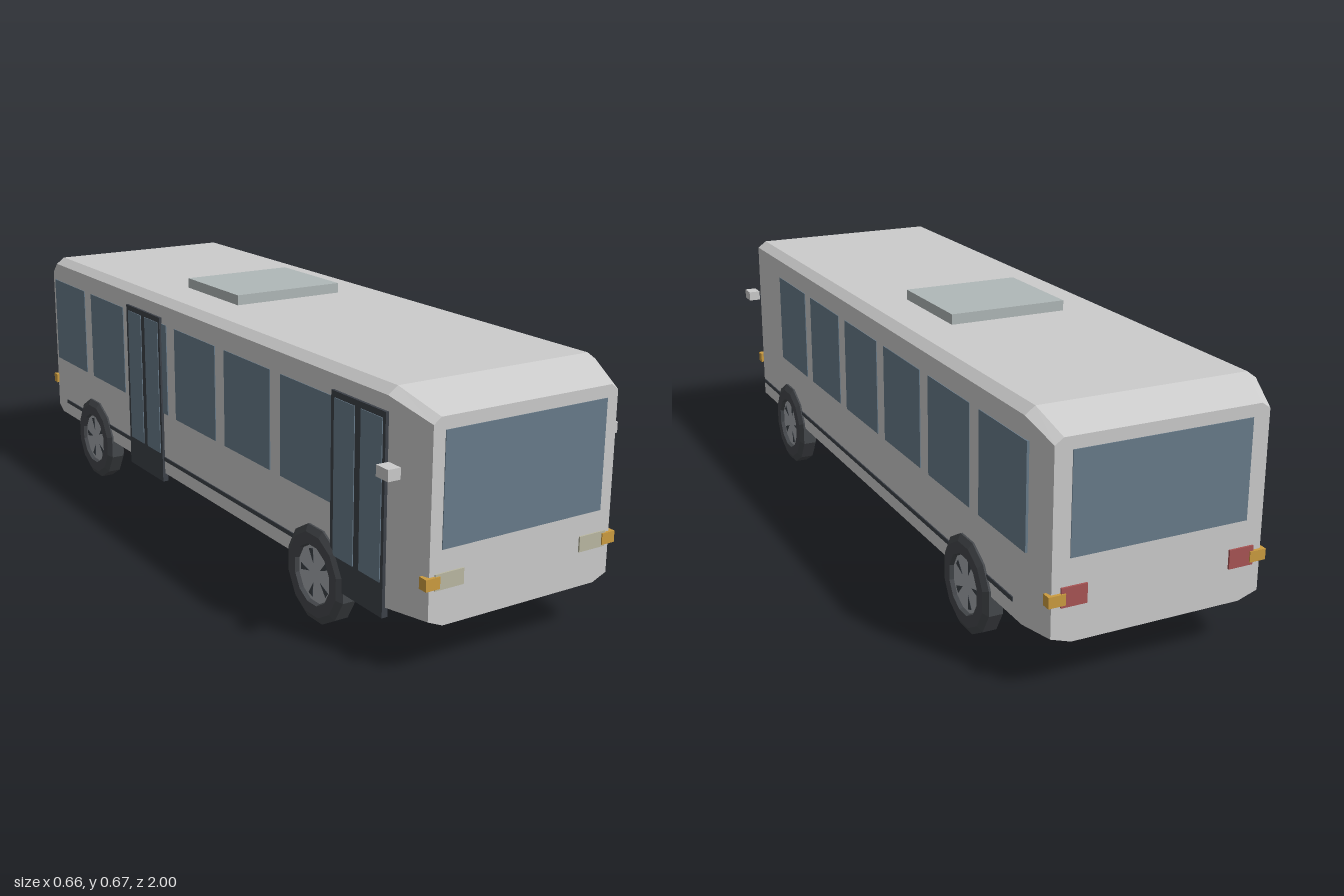
import * as THREE from 'three';

const mat = (color) => new THREE.MeshStandardMaterial({ color, flatShading: true });
const M = {
  body: mat(0xcccccc), glass: mat(0x687b8a), dark: mat(0x3c4148), tyre: mat(0x45484c),
  rim: mat(0xa4a8ac), hatch: mat(0xb0b8b8), lamp: mat(0xbab8a2), amber: mat(0xcc9c40), red: mat(0xa85454),
};

// Box given by its two extremes on each axis
function box(parent, name, material, [x0, x1], [y0, y1], [z0, z1]) {
  const mesh = new THREE.Mesh(new THREE.BoxGeometry(Math.abs(x1 - x0), y1 - y0, z1 - z0), material);
  mesh.position.set((x0 + x1) / 2, (y0 + y1) / 2, (z0 + z1) / 2);
  mesh.name = name;
  parent.add(mesh);
  return mesh;
}

// Shell lofted through eight-sided sections, closed at both ends
function bodyGeometry() {
  const sections = [
    { z: -0.992, w: 0.272, shoulder: 0.58, tx: 0.25, top: 0.595 },
    { z: -0.905, w: 0.295, shoulder: 0.622, tx: 0.27, top: 0.64 },
    { z: 0.88, w: 0.295, shoulder: 0.622, tx: 0.27, top: 0.64 },
    { z: 0.993, w: 0.26, shoulder: 0.58, tx: 0.24, top: 0.595 },
  ];
  const rings = sections.map(({ z, w, shoulder, tx, top }) => {
    const half = [[0.22, 0.12], [w, 0.137], [w, shoulder], [tx, top]];
    const mirrored = half.map(([x, y]) => [-x, y]).reverse();
    return [...half, ...mirrored].map(([x, y]) => [x, y, z]);
  });
  const pos = [];
  const tri = (a, b, c) => pos.push(...a, ...b, ...c);
  for (let s = 0; s < rings.length - 1; s++) {
    const a = rings[s], b = rings[s + 1];
    for (let i = 0; i < 8; i++) {
      const j = (i + 1) % 8;
      tri(a[i], a[j], b[j]);
      tri(a[i], b[j], b[i]);
    }
  }
  const back = rings[0], front = rings[rings.length - 1];
  for (let i = 1; i < 7; i++) {
    tri(front[0], front[i], front[i + 1]);
    tri(back[0], back[i + 1], back[i]);
  }
  const g = new THREE.BufferGeometry();
  g.setAttribute('position', new THREE.Float32BufferAttribute(pos, 3));
  g.computeVertexNormals();
  return g;
}

// Twelve-sided wheel whose axle is local y, outer face at +y
function makeWheel() {
  const wheel = new THREE.Group();
  const profile = [[0.07, -0.027], [0.105, -0.027], [0.122, -0.018], [0.122, 0.018], [0.105, 0.027], [0.076, 0.027], [0.072, 0.016]]
    .map(([r, y]) => new THREE.Vector2(r, y));
  const tyre = new THREE.Mesh(new THREE.LatheGeometry(profile, 12), M.tyre);
  tyre.name = 'tyre';
  tyre.rotation.y = Math.PI / 12;
  const rim = new THREE.Mesh(new THREE.CylinderGeometry(0.074, 0.074, 0.042, 24), M.rim);
  rim.name = 'rim';
  rim.position.y = -0.004;
  wheel.add(tyre, rim);
  // Dark slots between the spokes
  const slot = new THREE.Shape([[0.026, 0], [0.062, -0.009], [0.062, 0.009]].map((p) => new THREE.Vector2(...p)));
  const slotGeo = new THREE.ExtrudeGeometry(slot, { depth: 0.001, bevelEnabled: false });
  slotGeo.rotateX(-Math.PI / 2);
  for (let i = 0; i < 5; i++) {
    const mesh = new THREE.Mesh(slotGeo, M.dark);
    mesh.name = 'rimSlot';
    mesh.position.y = 0.017;
    mesh.rotation.y = Math.PI / 2 + (i * Math.PI * 2) / 5;
    wheel.add(mesh);
  }
  return wheel;
}

// Double-leaf door on the right side, starting at z
function makeDoor(z) {
  const door = new THREE.Group();
  const width = 0.208, leaf = width / 2;
  box(door, 'doorFrame', M.dark, [-0.302, -0.286], [0.113, 0.587], [z, z + width]);
  for (let i = 0; i < 2; i++) {
    const z0 = z + i * leaf;
    box(door, 'doorGlass', M.glass, [-0.304, -0.3], [0.195, 0.572], [z0 + 0.014, z0 + leaf - 0.01]);
  }
  return door;
}

export function createModel() {
  const bus = new THREE.Group();
  bus.name = 'bus';

  const body = new THREE.Mesh(bodyGeometry(), M.body);
  body.name = 'body';
  bus.add(body);

  box(bus, 'roofHatch', M.hatch, [-0.16, 0.16], [0.63, 0.667], [-0.27, 0.01]);
  box(bus, 'windscreen', M.glass, [-0.228, 0.228], [0.298, 0.565], [0.985, 0.995]);
  box(bus, 'rearWindow', M.glass, [-0.228, 0.228], [0.32, 0.565], [-0.994, -0.985]);

  for (const s of [1, -1]) {
    // Side windows and trim strip
    for (let i = 0; i < 6; i++) {
      const z = -0.92 + i * 0.2735;
      box(bus, 'sideWindow', M.glass, [s * 0.287, s * 0.297], [0.315, 0.57], [z, z + 0.225]);
    }
    box(bus, 'sideStrip', M.dark, [s * 0.29, s * 0.298], [0.175, 0.186], [-0.865, 0.872]);

    // Lamps
    box(bus, 'headlight', M.lamp, [s * 0.168, s * 0.246], [0.207, 0.245], [0.98, 0.997]);
    box(bus, 'frontIndicator', M.amber, [s * 0.235, s * 0.273], [0.212, 0.24], [0.975, 1]);
    box(bus, 'tailLight', M.red, [s * 0.185, s * 0.25], [0.208, 0.255], [-0.997, -0.98]);
    box(bus, 'rearIndicator', M.amber, [s * 0.24, s * 0.283], [0.215, 0.242], [-1, -0.977]);

    // Mirrors on short stems
    box(bus, 'mirrorStem', M.dark, [s * 0.27, s * 0.3], [0.452, 0.461], [0.9, 0.915]);
    box(bus, 'mirror', M.body, [s * 0.296, s * 0.329], [0.45, 0.477], [0.888, 0.932]);

    // Wheels
    for (const z of [0.61, -0.64]) {
      const wheel = makeWheel();
      wheel.name = z > 0 ? 'frontWheel' : 'rearWheel';
      wheel.rotation.z = (-s * Math.PI) / 2;
      wheel.position.set(s * 0.282, 0.118, z);
      bus.add(wheel);
    }
  }

  for (const [name, z] of [['frontDoor', 0.675], ['middleDoor', -0.385]]) {
    const door = makeDoor(z);
    door.name = name;
    bus.add(door);
  }
  return bus;
}
